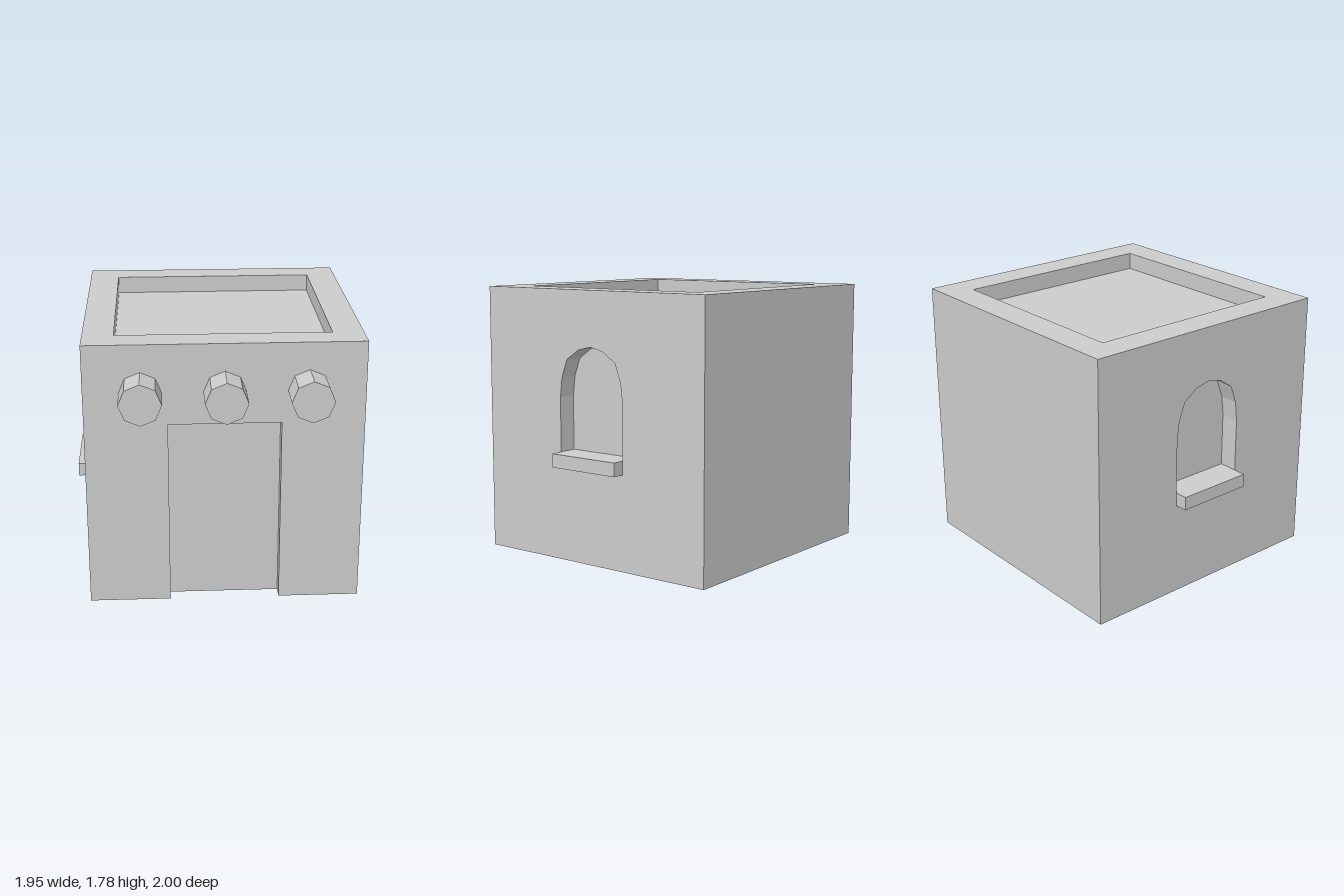
import * as THREE from 'three';

const material = new THREE.MeshStandardMaterial({
  color: 0xcccccc, flatShading: true, side: THREE.DoubleSide,
});

const H = 0.89;        // half the width of the block
const TOP = 2 * H;     // height of the block

const vectors = (points) => points.map(([x, y]) => new THREE.Vector2(x, y));
const rectangle = (x, y0, y1) => [[-x, y0], [x, y0], [x, y1], [-x, y1]];

function addMesh(parent, name, geometry) {
  const mesh = new THREE.Mesh(geometry, material);
  mesh.name = name;
  parent.add(mesh);
  return mesh;
}

// Flat panel in the local XY plane, with an optional hole
function panel(outline, hole) {
  const shape = new THREE.Shape(vectors(outline));
  if (hole) shape.holes.push(new THREE.Path(vectors(hole)));
  return new THREE.ShapeGeometry(shape);
}

// Strip of quads that follows a path and runs from depth z0 to z1
function band(path, z0, z1) {
  const positions = [];
  for (let i = 0; i + 1 < path.length; i++) {
    const [ax, ay] = path[i];
    const [bx, by] = path[i + 1];
    positions.push(ax, ay, z0, bx, by, z0, bx, by, z1, ax, ay, z0, bx, by, z1, ax, ay, z1);
  }
  const geometry = new THREE.BufferGeometry();
  geometry.setAttribute('position', new THREE.Float32BufferAttribute(positions, 3));
  geometry.computeVertexNormals();
  return geometry;
}

// Side wall with an arched window niche and a projecting sill
function windowWall(name) {
  const wall = new THREE.Group();
  wall.name = name;
  const half = 0.26, sillBottom = 0.63, sillTop = 0.72, depth = 0.126, reach = 0.085;
  const rise = [[half, 1.08], [0.245, 1.21], [0.2, 1.33], [0.105, 1.395]];
  const arch = [...rise, [0, 1.42], ...rise.map(([x, y]) => [-x, y]).reverse()];
  const niche = [[half, sillTop], ...arch, [-half, sillTop]];
  const opening = [[half, sillBottom], ...arch, [-half, sillBottom]];

  addMesh(wall, 'wallFace', panel(rectangle(H, 0, TOP), opening));
  addMesh(wall, 'windowReveal', band(niche, 0, -depth));
  addMesh(wall, 'windowBack', panel(niche)).position.z = -depth;

  const sill = new THREE.Group();
  sill.name = 'windowSill';
  wall.add(sill);
  addMesh(sill, 'sillTop', band([[half, sillTop], [-half, sillTop]], -depth, reach));
  addMesh(sill, 'sillSides', band(
    [[-half, sillTop], [-half, sillBottom], [half, sillBottom], [half, sillTop]], 0, reach));
  addMesh(sill, 'sillFront', panel(rectangle(half, sillBottom, sillTop))).position.z = reach;
  return wall;
}

// Front wall with a recessed doorway and a row of beam ends
function frontWall() {
  const wall = new THREE.Group();
  wall.name = 'frontWall';
  const half = 0.36, height = 1.25, depth = 0.09;
  const door = [[half, 0], [half, height], [-half, height], [-half, 0]];

  addMesh(wall, 'wallFace', panel(
    [...door].reverse().concat([[H, 0], [H, TOP], [-H, TOP], [-H, 0]])));
  addMesh(wall, 'doorReveal', band(door, 0, -depth));
  addMesh(wall, 'door', panel(door)).position.z = -depth;

  const length = 0.22;
  for (const x of [-0.53, 0, 0.53]) {
    const beam = addMesh(wall, 'beamEnd', new THREE.CylinderGeometry(0.135, 0.135, length, 8));
    beam.rotation.x = Math.PI / 2;
    beam.position.set(x, 1.465, length / 2);
  }
  return wall;
}

// Flat roof sunk behind a parapet
function roof() {
  const group = new THREE.Group();
  group.name = 'roof';
  const depth = 0.115;
  const inner = rectangle(0.69, -0.69, 0.69);
  addMesh(group, 'parapetTop', panel(rectangle(H, -H, H), inner));
  addMesh(group, 'parapetInside', band([...inner, inner[0]], 0, -depth));
  addMesh(group, 'roofFloor', panel(inner)).position.z = -depth;
  group.rotation.x = -Math.PI / 2;
  group.position.y = TOP;
  return group;
}

export function createModel() {
  const house = new THREE.Group();
  house.name = 'house';

  const back = new THREE.Group();
  back.name = 'backWall';
  addMesh(back, 'wallFace', panel(rectangle(H, 0, TOP)));

  // Four walls turned around the centre of the block, open underneath
  const walls = [frontWall(), windowWall('leftWall'), back, windowWall('rightWall')];
  walls.forEach((wall, i) => {
    const angle = i * Math.PI / 2;
    wall.rotation.y = angle;
    wall.position.set(H * Math.sin(angle), 0, H * Math.cos(angle));
    house.add(wall);
  });
  house.add(roof());

  house.position.z = -0.11;
  const model = new THREE.Group();
  model.name = 'model';
  model.add(house);
  return model;
}
